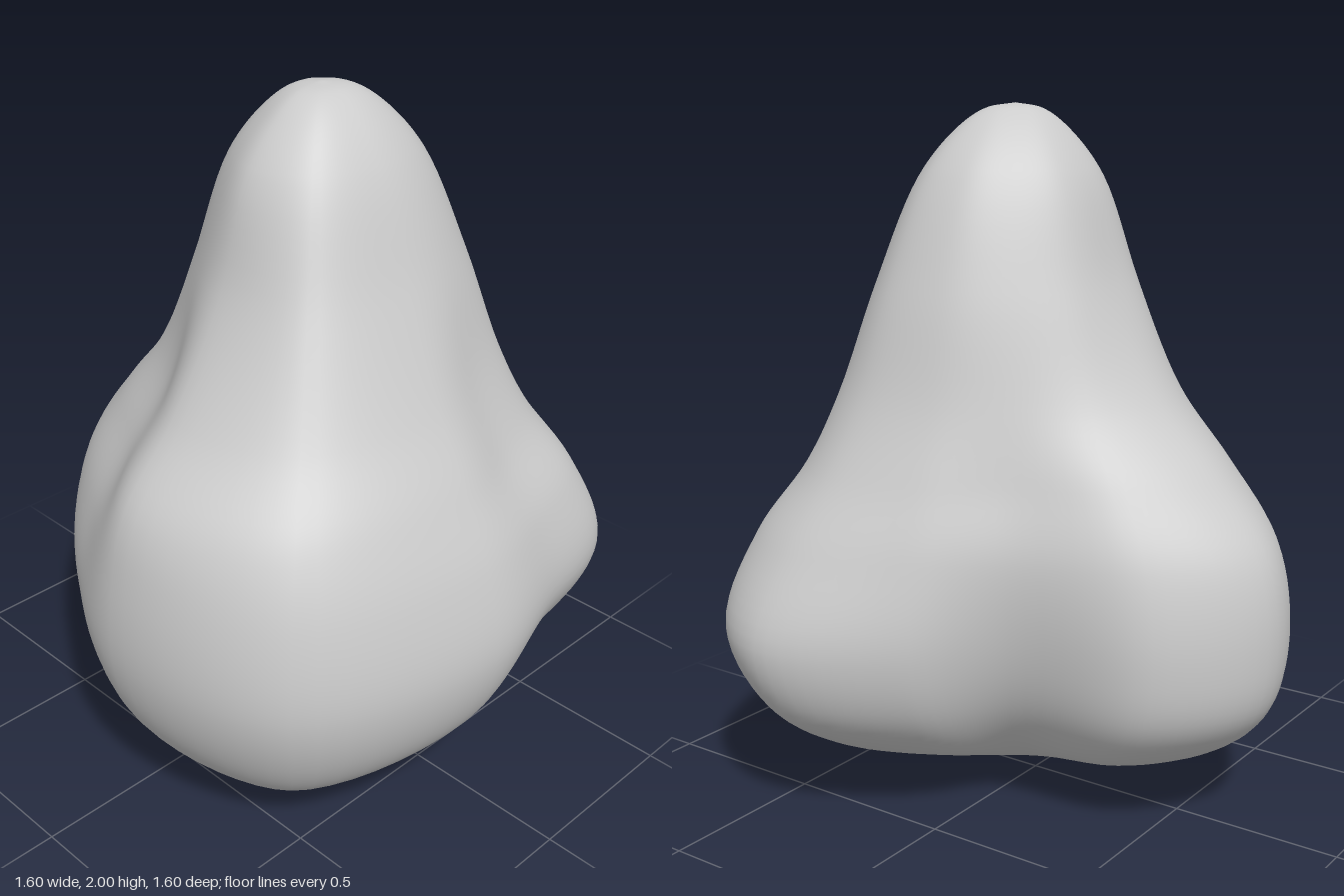
import * as THREE from 'three';
import { mergeVertices } from 'three/addons/utils/BufferGeometryUtils.js';

// Heights of the horizontal sections; the lowest ones drift towards the foot
const LEVELS = [0.015, 0.1, 0.2, 0.35, 0.55, 0.8, 1.0, 1.2, 1.5, 1.8, 1.93, 1.985];
const FOOT = new THREE.Vector3(0.14, 0, 0.17);
const CROWN = new THREE.Vector3(0.07, 2, 0);

// Profiles: compass angle (0 = +x, 90 = +z), then radii from y = 0.1 to y = 1.8
const PROFILES = [
  // right ridge
  [3, 0.36, 0.55, 0.68, 0.73, 0.68, 0.585, 0.475, 0.345, 0.23],
  // front right lobe
  [50, 0.44, 0.64, 0.78, 0.83, 0.8, 0.72, 0.57, 0.4, 0.26],
  [90, 0.39, 0.6, 0.745, 0.795, 0.78, 0.72, 0.55, 0.37, 0.27],
  // front left valley
  [120, 0.34, 0.51, 0.66, 0.73, 0.67, 0.55, 0.43, 0.345, 0.25],
  // side lobe
  [152, 0.38, 0.6, 0.74, 0.785, 0.74, 0.62, 0.48, 0.355, 0.25],
  [180, 0.42, 0.69, 0.83, 0.87, 0.83, 0.68, 0.5, 0.34, 0.24],
  [205, 0.36, 0.58, 0.69, 0.73, 0.69, 0.59, 0.46, 0.345, 0.24],
  // back valley
  [237, 0.29, 0.36, 0.43, 0.5, 0.52, 0.47, 0.42, 0.345, 0.24],
  // back lobe
  [265, 0.33, 0.48, 0.58, 0.64, 0.6, 0.53, 0.46, 0.385, 0.27],
  [291, 0.38, 0.63, 0.79, 0.86, 0.75, 0.62, 0.52, 0.42, 0.29],
  [310, 0.36, 0.59, 0.77, 0.865, 0.77, 0.62, 0.52, 0.41, 0.28],
  // right valley
  [335, 0.32, 0.48, 0.63, 0.725, 0.67, 0.55, 0.46, 0.37, 0.25],
];

const COLS = 96;
const ROWS = 91;

function buildBody() {
  // Closed smooth outline at every level, shrunk by rule at the foot and crown
  const rings = LEVELS.map((y, i) => {
    const centre = CROWN.clone().lerp(FOOT, Math.max(0, 1 - y / 0.27)).setY(y);
    const pts = PROFILES.map(([deg, ...r]) => {
      const radius = [r[0] * 0.38, ...r, r[8] * 0.61, r[8] * 0.31][i];
      const a = THREE.MathUtils.degToRad(deg);
      return new THREE.Vector3(Math.cos(a), 0, Math.sin(a)).multiplyScalar(radius).add(centre);
    });
    return new THREE.CatmullRomCurve3(pts, true).getPoints(COLS);
  });

  // Smooth columns from the foot to the crown
  const positions = [];
  for (let c = 0; c < COLS; c++) {
    const column = [FOOT, ...rings.map((ring) => ring[c]), CROWN];
    for (const p of new THREE.CatmullRomCurve3(column).getPoints(ROWS)) {
      positions.push(p.x, THREE.MathUtils.clamp(p.y, 0, 2), p.z);
    }
  }

  // Skin, leaving out the collapsed triangles at both ends
  const index = [];
  const n = ROWS + 1;
  for (let c = 0; c < COLS; c++) {
    for (let r = 0; r < ROWS; r++) {
      const a = c * n + r;
      const b = ((c + 1) % COLS) * n + r;
      if (r > 0) index.push(a, a + 1, b);
      if (r < ROWS - 1) index.push(b, a + 1, b + 1);
    }
  }

  const geometry = new THREE.BufferGeometry();
  geometry.setAttribute('position', new THREE.Float32BufferAttribute(positions, 3));
  geometry.setIndex(index);
  const welded = mergeVertices(geometry, 1e-5);
  welded.computeVertexNormals();
  return welded;
}

export function createModel() {
  const group = new THREE.Group();
  group.name = 'lobedStone';
  const body = new THREE.Mesh(buildBody(), new THREE.MeshStandardMaterial({ color: 0xcccccc }));
  body.name = 'stoneBody';
  group.add(body);
  return group;
}
